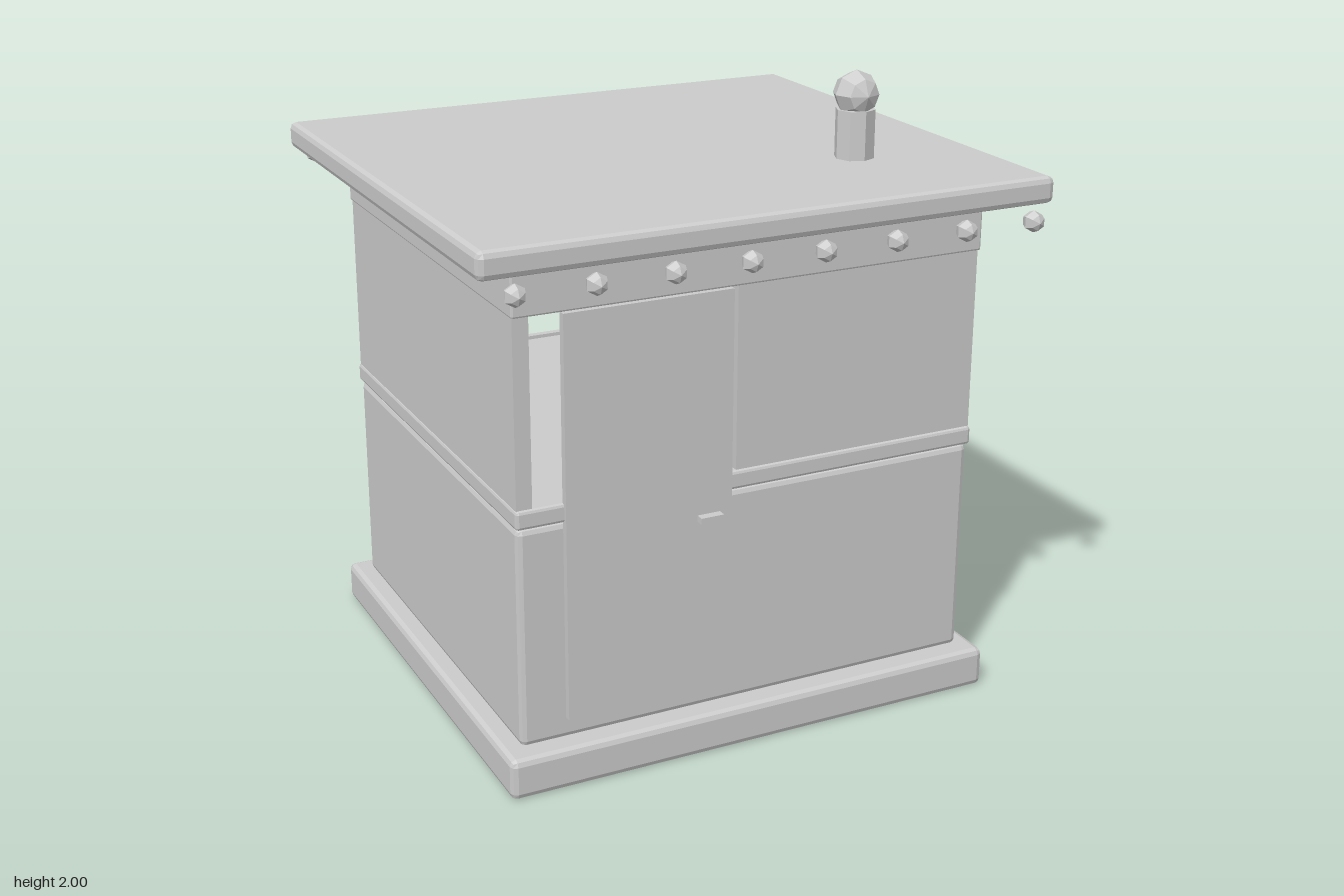
import * as THREE from 'three';
import { RoundedBoxGeometry } from 'three/addons/geometries/RoundedBoxGeometry.js';

export function createModel() {
  const model = new THREE.Group();
  const grey = new THREE.MeshStandardMaterial({ color: 0xcccccc, flatShading: true });
  grey.name = 'light grey';

  const add = (name, geometry, x = 0, y = 0, z = 0) => {
    const mesh = new THREE.Mesh(geometry, grey);
    mesh.name = name;
    mesh.position.set(x, y, z);
    model.add(mesh);
    return mesh;
  };

  // Box given by its extents on each axis; a bevel chamfers the edges
  const box = (name, [x0, x1], [y0, y1], [z0, z1], bevel = 0) => {
    const size = [x1 - x0, y1 - y0, z1 - z0];
    const geometry = bevel
      ? new RoundedBoxGeometry(...size, 1, bevel)
      : new THREE.BoxGeometry(...size);
    return add(name, geometry, (x0 + x1) / 2, (y0 + y1) / 2, (z0 + z1) / 2);
  };

  // Faceted ball with its poles along z
  const ball = (radius, sides) =>
    new THREE.SphereGeometry(radius, sides, 4).rotateX(Math.PI / 2).rotateZ(Math.PI / 2);

  // Base, lower body, sill, top band and roof
  box('base', [-0.83, 0.83], [0, 0.13], [-0.77, 0.77], 0.02);
  box('lowerBody', [-0.77, 0.77], [0.13, 0.835], [-0.7, 0.7], 0.018);
  box('sill', [-0.775, 0.775], [0.838, 0.898], [-0.71, 0.71], 0.01);
  box('topBand', [-0.775, 0.775], [1.477, 1.637], [-0.71, 0.71], 0.006);
  box('roof', [-0.927, 0.927], [1.642, 1.727], [-0.86, 0.86], 0.02);

  // Upper walls, open at the front behind the door
  const upper = [0.895, 1.48];
  box('leftWall', [0.72, 0.77], upper, [-0.7, 0.7]);
  box('rightWall', [-0.77, -0.72], upper, [-0.7, 0.7]);
  box('frontPanel', [-0.06, 0.72], upper, [0.65, 0.7]);

  // Back window: posts, rails and a pane that faces outwards
  for (const x of [-0.745, -0.26, 0.26, 0.745]) {
    box('windowPost', [x - 0.018, x + 0.018], upper, [-0.717, -0.685]);
  }
  box('windowRail', [-0.72, 0.72], [0.895, 0.91], [-0.705, -0.68]);
  box('windowRail', [-0.72, 0.72], [1.462, 1.48], [-0.705, -0.68]);
  add('windowPane', new THREE.PlaneGeometry(1.44, 0.56).rotateY(Math.PI), 0, 1.186, -0.692);
  add('windowNotice', new THREE.PlaneGeometry(0.58, 0.38).rotateY(Math.PI), -0.355, 1.115, -0.697);

  // Door with handle
  box('door', [-0.625, -0.085], [0.2, 1.477], [0.698, 0.723]);
  box('doorHandle', [-0.2, -0.125], [0.765, 0.785], [0.72, 0.75]);

  // Meter box and drain pipe on the side
  box('meterBox', [0.765, 0.805], [0.457, 0.835], [0.12, 0.4]);
  add('drainPipe', new THREE.CylinderGeometry(0.029, 0.029, 1.515, 8), 0.775, 0.8825, -0.447);

  // Chimney with a ball on top
  add('chimney', new THREE.CylinderGeometry(0.063, 0.063, 0.16, 8), 0.51, 1.8, 0.385);
  add('chimneyBall', ball(0.073, 8), 0.51, 1.927, 0.385);

  // Rows of bulbs along the front and back eaves
  const bulb = ball(0.034, 6);
  for (const z of [-0.887, 0.887]) {
    for (let i = 0; i < 8; i++) add('eaveBulb', bulb, -0.833 + i * 0.238, 1.606, z);
  }

  return model;
}
